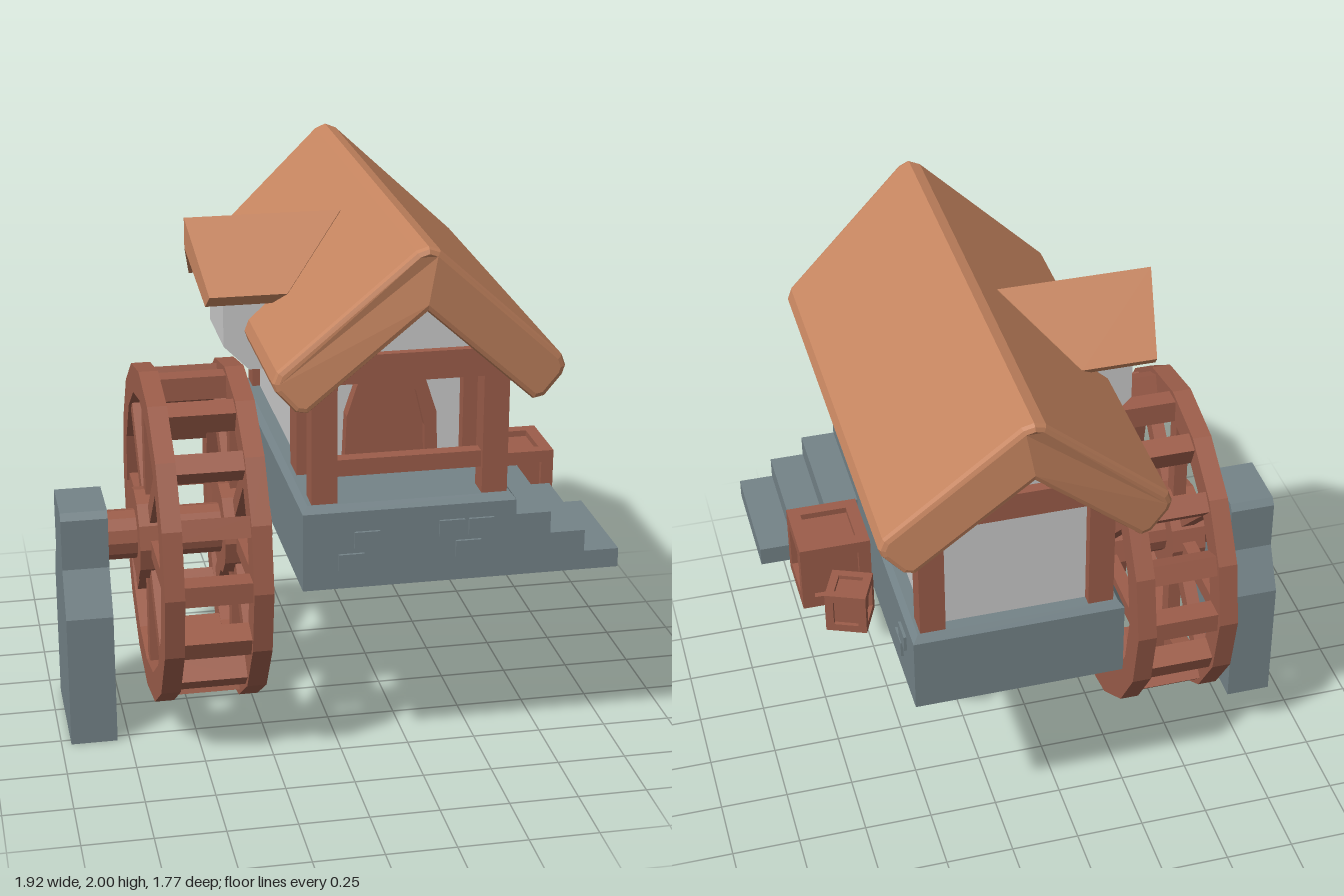
import * as THREE from 'three';

const material = (color) => new THREE.MeshStandardMaterial({ color, flatShading: true, side: THREE.DoubleSide });

export function createModel() {
  const wood = material(0x9c5d4a), stone = material(0x748388), thatch = material(0xc68560), plaster = material(0xcccccc);
  const model = new THREE.Group();

  const add = (name, geometry, mat, parent = model) => {
    const mesh = new THREE.Mesh(geometry, mat);
    mesh.name = name;
    parent.add(mesh);
    return mesh;
  };
  // Box given by its limits on each axis
  const box = (name, mat, x0, x1, y0, y1, z0, z1, parent) => {
    const mesh = add(name, new THREE.BoxGeometry(x1 - x0, y1 - y0, z1 - z0), mat, parent);
    mesh.position.set((x0 + x1) / 2, (y0 + y1) / 2, (z0 + z1) / 2);
    return mesh;
  };
  // Outline extruded along z, centred on z = 0
  const outline = (pts) => pts.map(([x, y]) => new THREE.Vector2(x, y));
  const prism = (pts, depth, bevel = 0, hole = null) => {
    const shape = new THREE.Shape(outline(pts));
    if (hole) shape.holes.push(new THREE.Path(outline(hole)));
    return new THREE.ExtrudeGeometry(shape, {
      depth: depth - 2 * bevel, bevelEnabled: bevel > 0, bevelSize: bevel,
      bevelThickness: bevel, bevelOffset: -bevel, bevelSegments: 2,
    }).translate(0, 0, bevel - depth / 2);
  };
  const mirrored = (half) => [...half, ...half.filter(([x]) => x > 0).reverse().map(([x, y]) => [-x, y])];
  const moveVertices = (geometry, rule) => {
    const p = geometry.attributes.position, v = new THREE.Vector3();
    for (let i = 0; i < p.count; i++) {
      rule(v.fromBufferAttribute(p, i));
      p.setXYZ(i, v.x, v.y, v.z);
    }
    geometry.computeVertexNormals();
    return geometry;
  };
  const withoutBottom = (geometry) => {
    const { start, count } = geometry.groups[3];
    const index = Array.from(geometry.index.array);
    index.splice(start, count);
    geometry.setIndex(index);
    geometry.clearGroups();
    return geometry;
  };

  // Foundation: open below, with a chamfered top edge
  const base = moveVertices(withoutBottom(new THREE.BoxGeometry(0.755, 0.31, 1.37, 1, 2, 1)), (v) => {
    if (Math.abs(v.y) < 0.01) v.y = 0.13;
    else if (v.y > 0) { v.x -= Math.sign(v.x) * 0.02; v.z -= Math.sign(v.z) * 0.02; }
  });
  add('foundation', base, stone).position.set(0.2025, 0.885, 0);
  for (const [x, y] of [[0.05, 0.91], [-0.005, 0.83], [0.35, 0.93], [0.455, 0.93], [0.41, 0.85]])
    box('raisedStone', stone, x - 0.045, x + 0.045, y - 0.03, y + 0.03, 0.67, 0.695);
  for (const [z, y] of [[-0.525, 0.925], [-0.465, 0.85]])
    box('raisedStone', stone, 0.565, 0.59, y - 0.03, y + 0.03, z - 0.045, z + 0.045);

  // Steps up to the porch
  for (let i = 0; i < 3; i++) {
    const h = 0.23 - i * 0.08;
    add('step', withoutBottom(new THREE.BoxGeometry(0.126, h, 0.445)), stone)
      .position.set(0.643 + i * 0.126, 0.73 + h / 2, 0.462);
  }

  // House walls and gables
  box('houseWalls', plaster, -0.11, 0.52, 1.03, 1.53, -0.62, 0.33);
  const gable = [[-0.31, 1.5], [0.31, 1.5], [0, 1.81]];
  add('houseGable', prism(gable, 0.94), plaster).position.set(0.205, 0, -0.15);
  add('porchGable', prism(gable, 0.04), plaster).position.set(0.205, 0, 0.61);

  // Timber frame
  for (const s of [-1, 1]) {
    const x0 = 0.205 + s * 0.3 - 0.045, x1 = x0 + 0.09;
    box('frontPost', wood, x0, x1, 1.03, 1.5, 0.57, 0.66);
    box('middlePost', wood, x0, x1, 1.03, 1.5, 0.255, 0.38);
    box('backPost', wood, x0, x1, 1.03, 1.5, -0.66, -0.57);
    box('sideBeam', wood, x0 + 0.01, x1 - 0.01, 1.44, 1.52, -0.6, 0.6);
  }
  box('frontBeam', wood, -0.14, 0.55, 1.47, 1.57, 0.57, 0.66);
  box('backBeam', wood, -0.14, 0.55, 1.47, 1.57, -0.66, -0.57);
  box('porchRail', wood, -0.06, 0.47, 1.13, 1.19, 0.59, 0.64);

  // Arched door
  const arch = (w, h) => mirrored([[w, 1.04], [w * 0.95, h - 0.19], [w * 0.7, h - 0.06], [w * 0.35, h - 0.01]]);
  add('doorFrame', prism(arch(0.17, 1.44), 0.06, 0, arch(0.125, 1.39)), wood).position.set(0.2, 0, 0.355);
  add('door', prism(arch(0.125, 1.39), 0.03), wood).position.set(0.2, 0, 0.34);

  // Main thatched roof: chevron whose ends draw back towards the eaves
  const roof = mirrored([[0, 2], [0.04, 1.985], [0.485, 1.575], [0.5, 1.535], [0.49, 1.505],
    [0.425, 1.435], [0.385, 1.43], [0, 1.78]]);
  add('mainRoof', moveVertices(prism(roof, 1.77, 0.02), (v) => { v.z *= 1 - 0.2 * Math.abs(v.x); }), thatch)
    .position.x = 0.205;

  // Dormer on the wheel side
  const dormerRoof = mirrored([[0, 1.91], [0.25, 1.69], [0.205, 1.645], [0, 1.8]]);
  const dormerGeometry = prism(dormerRoof, 0.56).rotateY(Math.PI / 2);
  add('dormerRoof', moveVertices(dormerGeometry, (v) => {
    v.x += Math.abs(v.z) * (v.x < 0 ? 0.2 : -0.95);
  }), thatch).position.set(-0.2, 0, 0.06);
  const dormerWall = [[-0.16, 1.48], [0.16, 1.48], [0.16, 1.69], [0, 1.83], [-0.16, 1.69]];
  add('dormerWalls', prism(dormerWall, 0.35).rotateY(Math.PI / 2), plaster).position.set(-0.195, 0, 0.06);
  add('dormerCorbel', prism([[-0.37, 1.48], [-0.28, 1.39], [-0.1, 1.39], [-0.1, 1.48]], 0.32), plaster)
    .position.z = 0.06;

  // Water wheel, built around z and turned to face sideways
  const wheel = new THREE.Group();
  wheel.name = 'waterWheel';
  wheel.position.set(-0.465, 0.73, 0.065);
  wheel.rotation.y = Math.PI / 2;
  model.add(wheel);
  const polygon = (r) => Array.from({ length: 16 }, (_, i) => [r * Math.cos(i * Math.PI / 8), r * Math.sin(i * Math.PI / 8)]);
  for (const z of [-0.155, 0.155]) {
    add('wheelRim', prism(polygon(0.622), 0.07, 0, polygon(0.515)), wood, wheel).position.z = z;
    add('wheelHub', new THREE.CylinderGeometry(0.17, 0.17, 0.13, 12).rotateX(Math.PI / 2), wood, wheel).position.z = z;
    for (let i = 0; i < 8; i++)
      add('spoke', new THREE.BoxGeometry(0.42, 0.065, 0.05).translate(0.325, 0, 0), wood, wheel)
        .rotation.z = i * Math.PI / 4;
    for (const mesh of wheel.children) if (mesh.name === 'spoke' && mesh.position.z === 0) mesh.position.z = z;
  }
  for (let i = 0; i < 16; i++)
    add('paddle', new THREE.BoxGeometry(0.085, 0.075, 0.27).translate(0.558, 0, 0), wood, wheel)
      .rotation.z = i * Math.PI / 8;
  add('axle', new THREE.CylinderGeometry(0.092, 0.092, 0.61, 12).rotateX(Math.PI / 2), wood, wheel).position.z = -0.03;

  // Stone pillar carrying the axle
  const pillar = mirrored([[0.222, 0], [0.222, 0.5], [0.135, 0.66], [0.135, 0.85], [0.115, 0.875]]);
  add('axlePillar', prism(pillar, 0.17).rotateY(Math.PI / 2), stone).position.set(-0.88, 0, 0.062);

  // Crates: sunken panels inside a frame of twelve bars
  const crate = (sx, sy, sz, bar, x, z, turn) => {
    const group = new THREE.Group();
    group.name = 'crate';
    group.position.set(x, 0.73 + sy / 2, z);
    group.rotation.y = turn;
    model.add(group);
    const size = [sx, sy, sz];
    add('cratePanels', new THREE.BoxGeometry(...size.map((s) => s - bar)), wood, group);
    for (let axis = 0; axis < 3; axis++) {
      for (const a of [-1, 1]) for (const b of [-1, 1]) {
        const dims = [bar, bar, bar], pos = [0, 0, 0], u = (axis + 1) % 3, w = (axis + 2) % 3;
        dims[axis] = size[axis];
        pos[u] = a * (size[u] - bar) / 2;
        pos[w] = b * (size[w] - bar) / 2;
        add('crateBar', new THREE.BoxGeometry(...dims), wood, group).position.set(...pos);
      }
    }
  };
  crate(0.26, 0.265, 0.26, 0.045, 0.725, 0.073, 0);
  crate(0.15, 0.16, 0.15, 0.03, 0.7, -0.155, -0.4);

  return model;
}
